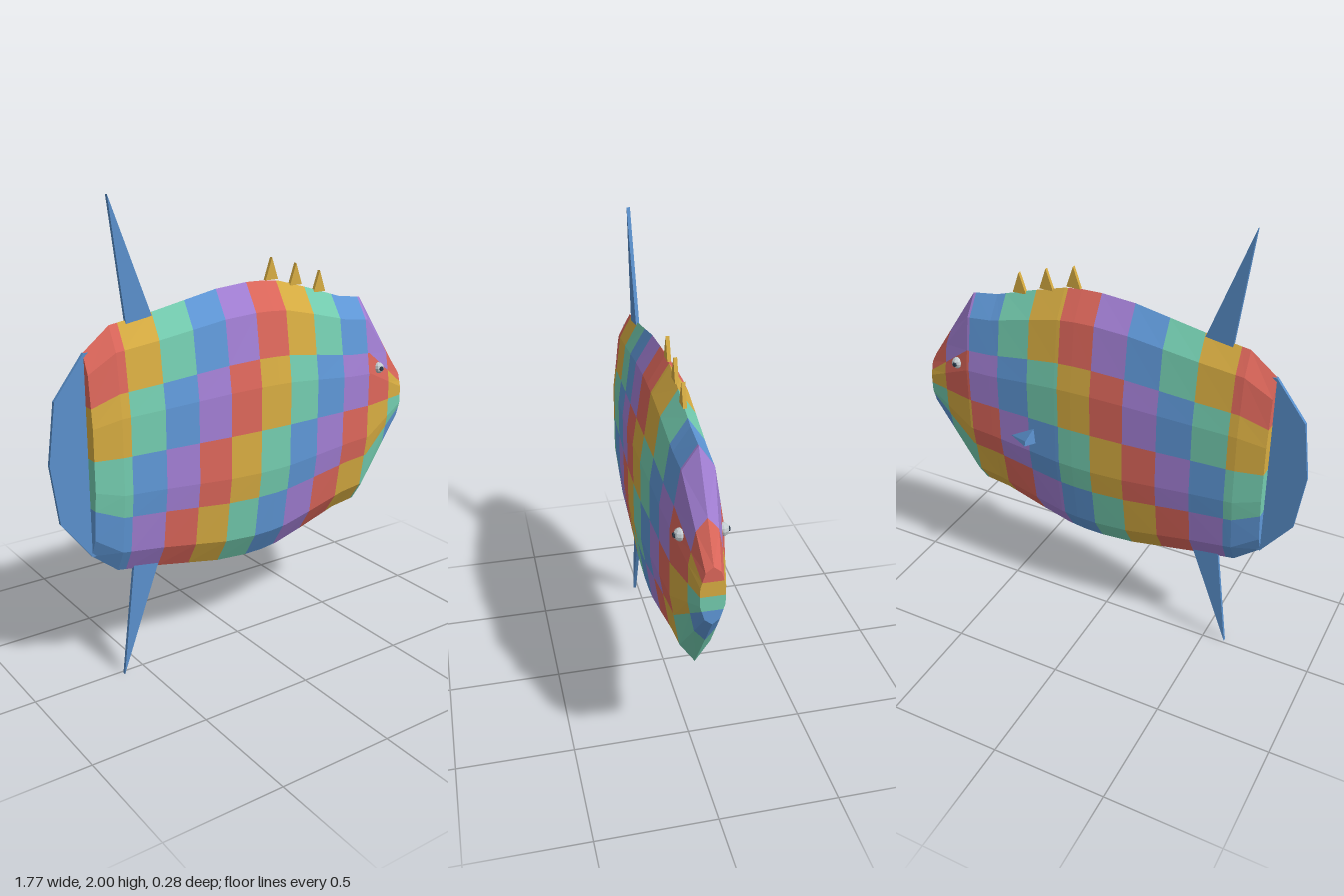
import * as THREE from 'three';
import { ConvexGeometry } from 'three/addons/geometries/ConvexGeometry.js';

const MID_Z = 0.018; // the body's plane of symmetry
const MID_Y = 1.0;

function material(name, color, flat = true) {
  const m = new THREE.MeshStandardMaterial({ color, flatShading: flat });
  m.name = name;
  return m;
}

// Body outline: x, half height, half width
const PROFILE = [
  [-0.725, 0.42, 0.062], [-0.61, 0.512, 0.088], [-0.43, 0.54, 0.098], [-0.12, 0.6, 0.119],
  [0.03, 0.612, 0.124], [0.12, 0.61, 0.125], [0.2, 0.6, 0.124], [0.34, 0.56, 0.118],
  [0.53, 0.5, 0.112], [0.65, 0.483, 0.106], [0.885, 0.125, 0.05],
];
const PITCH = 0.1515; // length of a colour patch

function sectionAt(x) {
  let i = 0;
  while (i < PROFILE.length - 2 && x > PROFILE[i + 1][0]) i++;
  const a = PROFILE[i], b = PROFILE[i + 1];
  const t = (x - a[0]) / (b[0] - a[0]);
  return [x, a[1] + (b[1] - a[1]) * t, a[2] + (b[2] - a[2]) * t];
}

// Ten-sided section, with extra points where the colour rows meet: height, width
const RING = [
  [1, 0], [0.809, 0.588], [0.5, 0.813], [0.309, 0.951], [0, 0.951],
  [-0.309, 0.951], [-0.5, 0.813], [-0.809, 0.588], [-1, 0],
];

function buildBody(palette) {
  const start = PROFILE[0][0];
  const xs = PROFILE.map((p) => p[0]);
  for (let i = 1; i <= 10; i++) {
    const x = start + i * PITCH;
    if (xs.every((v) => Math.abs(v - x) > 0.004)) xs.push(x);
  }
  xs.sort((a, b) => a - b);
  const sections = xs.map(sectionAt);
  const buckets = palette.map(() => []);

  const point = (s, r, side) => [s[0], MID_Y + s[1] * r[0], MID_Z + side * s[2] * r[1]];
  const quad = (bucket, a, b, c, d, flip) => {
    const order = flip ? [a, c, b, a, d, c] : [a, b, c, a, c, d];
    order.forEach((p) => bucket.push(...p));
  };
  for (let j = 0; j < RING.length - 1; j++) {
    const hi = RING[j], lo = RING[j + 1];
    const f = (hi[0] + lo[0]) / 2;
    const row = f > 0.5 ? 0 : f > 0 ? 1 : f > -0.5 ? 2 : 3;
    // patchwork flanks
    for (let i = 0; i < sections.length - 1; i++) {
      const s = sections[i], t = sections[i + 1];
      const col = Math.floor(((s[0] + t[0]) / 2 - start) / PITCH);
      const bucket = buckets[(col + row) % palette.length];
      for (const side of [1, -1]) {
        quad(bucket, point(s, lo, side), point(t, lo, side), point(t, hi, side), point(s, hi, side), side < 0);
      }
    }
    // blunt nose and tail ends
    [[sections[sections.length - 1], 10, false], [sections[0], 0, true]].forEach(([s, col, flip]) => {
      quad(buckets[(col + row) % palette.length],
        point(s, lo, 1), point(s, lo, -1), point(s, hi, -1), point(s, hi, 1), flip);
    });
  }

  const geometry = new THREE.BufferGeometry();
  const positions = [];
  buckets.forEach((b, i) => {
    geometry.addGroup(positions.length / 3, b.length / 3, i);
    for (const v of b) positions.push(v);
  });
  geometry.setAttribute('position', new THREE.Float32BufferAttribute(positions, 3));
  geometry.computeVertexNormals();
  const mesh = new THREE.Mesh(geometry, palette);
  mesh.name = 'body';
  return mesh;
}

// Flat plate with an outline in x and y
function plate(name, points, mat, depth = 0.015) {
  const shape = new THREE.Shape(points.map(([x, y]) => new THREE.Vector2(x, y)));
  const geometry = new THREE.ExtrudeGeometry(shape, { depth, bevelEnabled: false });
  geometry.translate(0, 0, MID_Z - depth / 2);
  const mesh = new THREE.Mesh(geometry, mat);
  mesh.name = name;
  return mesh;
}

export function createModel() {
  const red = material('coral red', 0xdd675b);
  const yellow = material('golden yellow', 0xd8ad42);
  const teal = material('mint teal', 0x74cdb0);
  const blue = material('sky blue', 0x5f98d8);
  const purple = material('lilac purple', 0xa27fd4);
  const finBlue = material('fin blue', 0x5a90cc);
  const eyeGrey = material('eye grey', 0xc4ccd0);
  const pupilDark = material('pupil dark', 0x2a3a4a);

  const model = new THREE.Group();
  model.name = 'fish';
  model.add(buildBody([red, yellow, teal, blue, purple]));

  // Tail and the tall fins above and below
  model.add(plate('tailFin', [
    [-0.7, 1.42], [-0.725, 1.42], [-0.855, 1.25], [-0.888, 1.0],
    [-0.855, 0.75], [-0.725, 0.58], [-0.7, 0.58],
  ], finBlue));
  const fin = [[-0.6, 2], [-0.54, 1.515], [-0.53, 1.48], [-0.42, 1.48], [-0.425, 1.53]];
  model.add(plate('dorsalFin', fin, finBlue));
  model.add(plate('analFin', fin.map(([x, y]) => [x, 2 - y]), finBlue));

  // Small spines on the back
  [[0.157, 1.61], [0.285, 1.575], [0.415, 1.532]].forEach(([x, y]) => {
    model.add(plate('backSpine', [[x - 0.032, y], [x + 0.032, y], [x, y + 0.093]], yellow));
  });

  // Small side fin, its wide edge lifted off the flank
  const sideFin = new THREE.Mesh(new ConvexGeometry([
    [0.44, 0.88, -0.085], [0.31, 0.95, -0.095], [0.3, 0.88, -0.1],
    [0.33, 0.88, -0.143], [0.33, 0.9, -0.135],
  ].map((p) => new THREE.Vector3(...p))), finBlue);
  sideFin.name = 'sideFin';
  model.add(sideFin);

  // Eyes on both sides of the head
  for (const side of [1, -1]) {
    const eye = new THREE.Group();
    eye.name = side > 0 ? 'eyeFront' : 'eyeBack';
    const ball = new THREE.Mesh(new THREE.SphereGeometry(0.026, 8, 6), eyeGrey);
    ball.name = 'eyeball';
    const pupil = new THREE.Mesh(new THREE.CylinderGeometry(0.009, 0.011, 0.006, 8), pupilDark);
    pupil.name = 'pupil';
    pupil.rotation.x = side * Math.PI / 2;
    pupil.position.z = side * 0.024;
    eye.add(ball, pupil);
    eye.position.set(0.71, 1.163, MID_Z + side * 0.08);
    model.add(eye);
  }
  return model;
}
